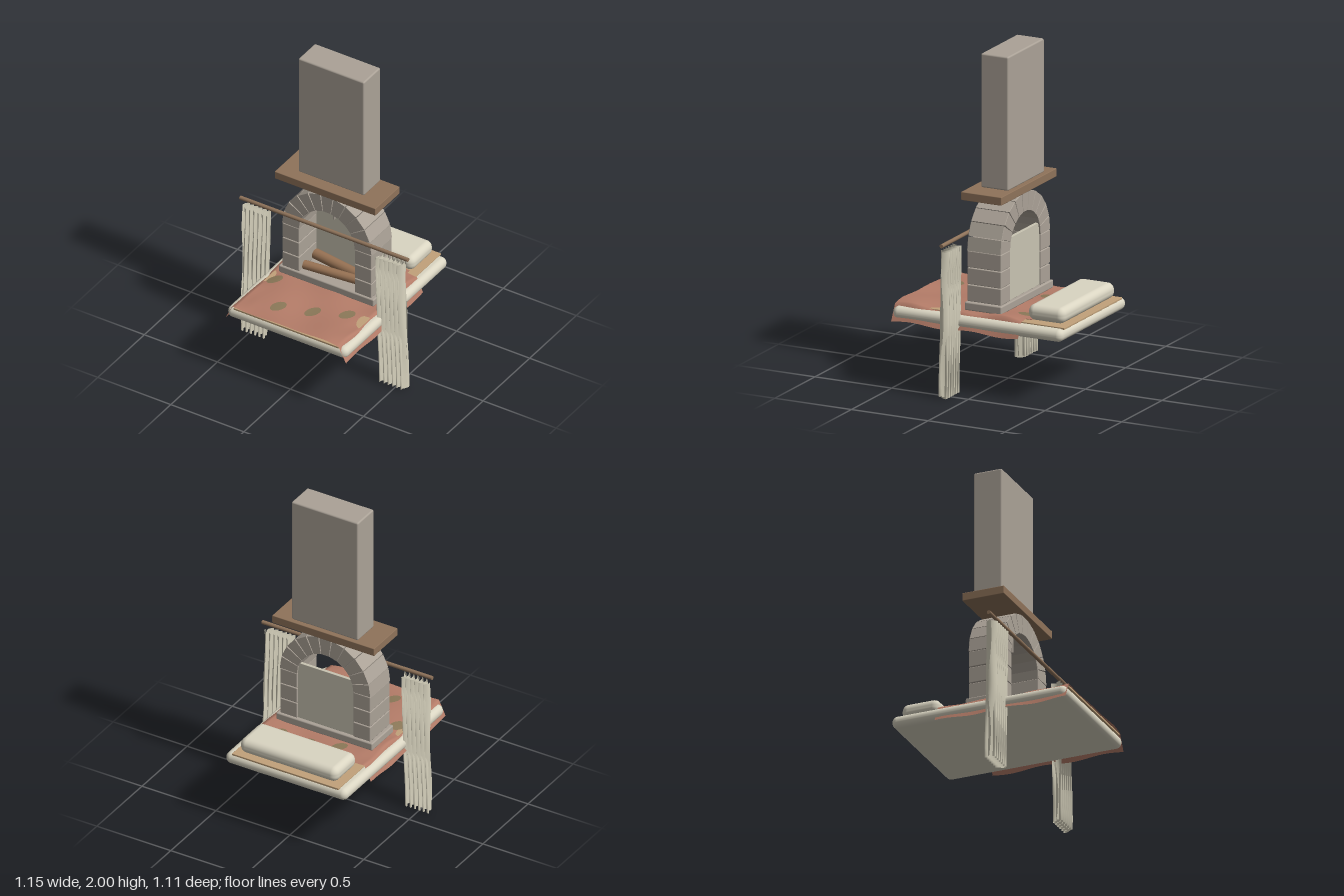
import * as THREE from 'three';
import { RoundedBoxGeometry } from 'three/addons/geometries/RoundedBoxGeometry.js';

const mat = (name, color, side = THREE.FrontSide) => {
  const m = new THREE.MeshStandardMaterial({ color, side });
  m.name = name;
  return m;
};

export function createModel() {
  const root = new THREE.Group();
  root.name = 'bedWithHearth';
  const cream = mat('cream linen', 0xdad5c2);
  const curtainCloth = mat('curtain cloth', 0xd8d3be, THREE.DoubleSide);
  const stone = mat('stone', 0xaba297);
  const wood = mat('mantel wood', 0x8f735a);
  const bark = mat('log wood', 0x9a7455);
  const tan = mat('tan sheet', 0xc2a27a);
  const rust = mat('rust blanket', 0xb47c68, THREE.DoubleSide);
  const olive = mat('olive patch', 0x8b7858, THREE.DoubleSide);
  const plaster = mat('plaster', 0xc9c4b2);

  const add = (name, geo, material, x = 0, y = 0, z = 0, parent = root) => {
    const m = new THREE.Mesh(geo, material);
    m.name = name;
    m.position.set(x, y, z);
    parent.add(m);
    return m;
  };
  // Box given by its extents, with softened edges
  const block = (name, material, [x0, x1], [y0, y1], [z0, z1], r = 0.006, seg = 2) =>
    add(name, new RoundedBoxGeometry(x1 - x0, y1 - y0, z1 - z0, seg, r), material,
      (x0 + x1) / 2, (y0 + y1) / 2, (z0 + z1) / 2);
  // Grid whose (u, v) in 0..1 are mapped to a point
  const sheet = (nu, nv, fn) => {
    const g = new THREE.PlaneGeometry(1, 1, nu, nv);
    const p = g.attributes.position;
    for (let i = 0; i < p.count; i++) p.setXYZ(i, ...fn(p.getX(i) + 0.5, p.getY(i) + 0.5));
    g.computeVertexNormals();
    return g;
  };

  // Bed
  block('mattress', cream, [-0.41, 0.41], [0.385, 0.46], [-0.557, 0.55], 0.036, 5);
  block('bedSheet', tan, [-0.36, 0.36], [0.455, 0.467], [-0.552, 0.548], 0.002, 1);
  block('pillow', cream, [-0.33, 0.33], [0.47, 0.565], [-0.53, -0.29], 0.042, 5);
  block('blanketFold', rust, [-0.3, 0.3], [0.465, 0.471], [-0.31, -0.26], 0.002, 1);

  // Blanket: rippled top with a flap sloping down each side
  const ripple = (x, z) => 0.4755 + 0.0045 * Math.sin(9 * x + 11 * z) + 0.0035 * Math.sin(17 * x - 8 * z + 1)
    - 0.007 * Math.max(0, Math.abs(x) - 0.28) / 0.09 * (0.6 + Math.sin(21 * z + 5 * x));
  add('blanket', sheet(44, 60, (u, v) => {
    const z = 0.55 - 0.827 * v;
    const i = Math.round(u * 44) - 22;
    const s = Math.sign(i), a = Math.abs(i);
    const edge = 0.367 + 0.005 * Math.sin(z * 19 + s);
    if (a <= 18) {
      const x = s * edge * a / 18;
      return [x, ripple(x, z), z];
    }
    const t = (a - 18) / 4;
    const low = 0.374 + 0.007 * Math.sin(z * 16 + s);
    return [s * (edge + (0.412 - edge) * t), THREE.MathUtils.lerp(ripple(s * edge, z), low, t), z];
  }), rust);

  // Blanket patches follow the ripples
  const patches = [[-0.14, 0.41], [0.05, 0.34], [0.235, 0.26], [-0.305, 0.19],
    [-0.14, -0.18], [0.05, -0.235], [0.235, -0.235]];
  for (const [cx, cz] of patches) {
    add('blanketPatch', sheet(20, 4, (u, v) => {
      const a = -u * Math.PI * 2;
      const px = 0.035 * v * Math.cos(a), pz = 0.054 * v * Math.sin(a);
      const x = cx + px * 0.9 - pz * 0.42, z = cz + px * 0.42 + pz * 0.9;
      return [x, ripple(x, z) + 0.0025, z];
    }), olive);
  }

  // Hearth, piers and back panel
  block('hearthSlab', stone, [-0.325, 0.325], [0.476, 0.525], [-0.122, 0.118], 0.008);
  for (const s of [-1, 1]) {
    for (let i = 0; i < 3; i++) {
      const y = 0.525 + i * 0.102;
      const b = block('pierStone', stone, [0.19, 0.305], [y + 0.001, y + 0.1], [-0.11, 0.11], 0.005);
      b.position.x *= s;
    }
  }
  block('backPanel', plaster, [-0.195, 0.195], [0.525, 0.9], [-0.1, -0.08], 0.002, 1);

  // Arch of eleven wedge stones
  const wedge = new THREE.Shape([[-0.0255, 0.19], [0.0255, 0.19], [0.0395, 0.303], [-0.0395, 0.303]]
    .map(([x, y]) => new THREE.Vector2(x, y)));
  const wedgeGeo = new THREE.ExtrudeGeometry(wedge, {
    depth: 0.214, bevelEnabled: true, bevelSize: 0.002, bevelThickness: 0.003, bevelSegments: 1,
  });
  for (let i = 0; i < 11; i++) {
    const m = add(i === 5 ? 'keystone' : 'archStone', wedgeGeo, stone, 0, 0.828, -0.107);
    m.rotation.z = (i - 5) * Math.PI / 11;
  }
  add('archPeg', new THREE.CylinderGeometry(0.009, 0.007, 0.1, 10), stone, 0, 0.975, 0.03);

  // Logs on the hearth
  for (const [z, turn, r] of [[0.045, 0.1, 0.027], [-0.03, -0.14, 0.032]]) {
    const log = add('log', new THREE.CylinderGeometry(r, r, 0.37, 14), bark, 0, 0.525 + r, z);
    log.rotation.set(0, turn, Math.PI / 2);
  }

  // Mantel and chimney
  block('mantel', wood, [-0.345, 0.345], [1.14, 1.19], [-0.133, 0.13], 0.004, 1);
  block('chimney', stone, [-0.225, 0.225], [1.195, 2], [-0.115, 0.064], 0.01);

  // Curtain rod and pleated curtains
  const rod = add('curtainRod', new THREE.CylinderGeometry(0.012, 0.012, 1.15, 14), wood, 0, 0.92, 0.137);
  rod.rotation.z = Math.PI / 2;
  for (const s of [-1, 1]) {
    add(s < 0 ? 'rightCurtain' : 'leftCurtain', sheet(96, 14, (u, v) => {
      const phase = u * Math.PI * 12;
      const x = 0.372 + 0.175 * u + 0.02 * (1 - v) + 0.009 * Math.sin(phase * 2 + v * 2);
      const hem = 0.012 * (1 - v) * (1 + Math.cos(phase)) / 2;
      return [s * x, 0.88 * v + hem, 0.137 + 0.033 * Math.sin(phase + 0.3 * Math.sin(v * 9))];
    }), curtainCloth);
  }
  return root;
}
